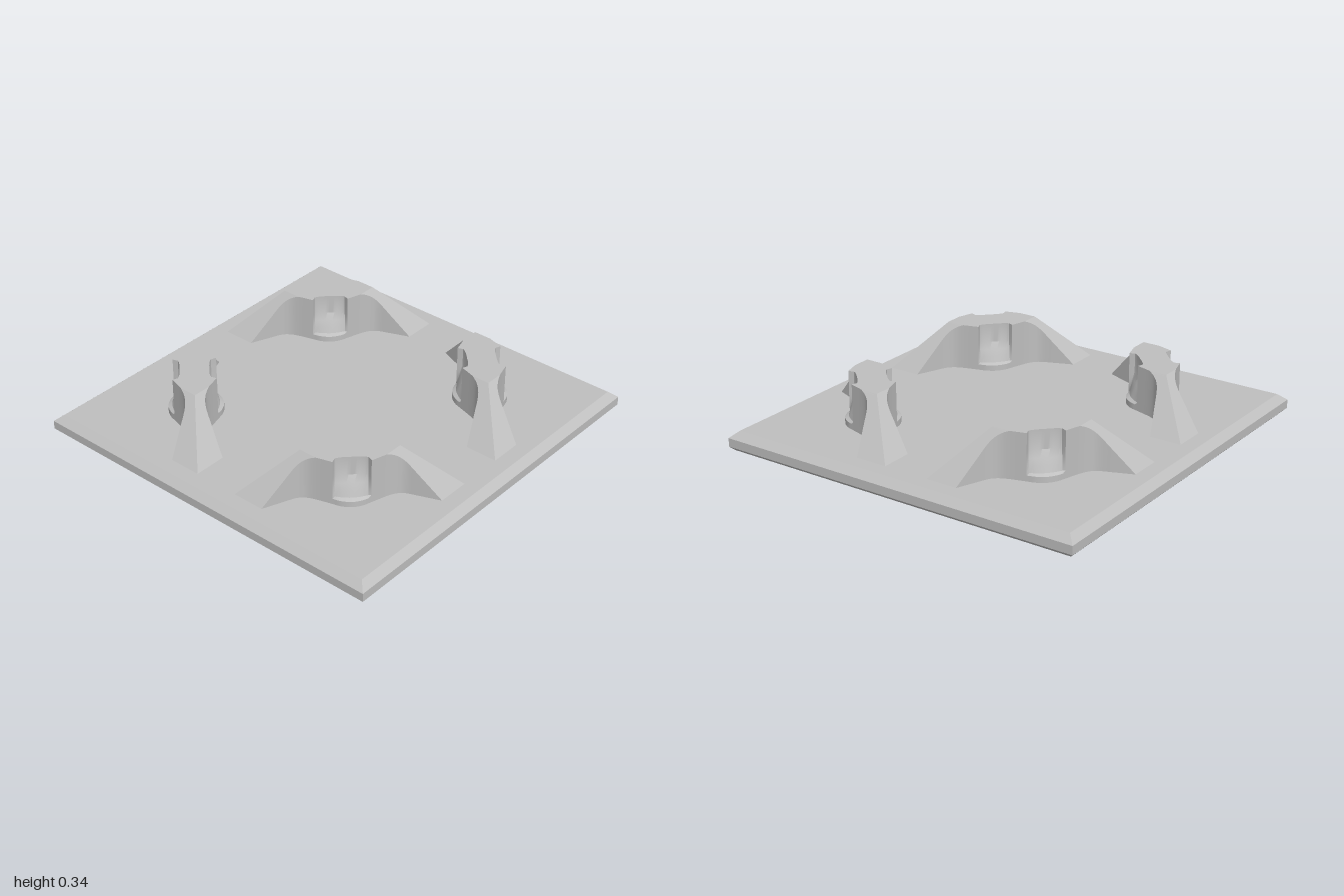
import * as THREE from 'three';
import { toCreasedNormals } from 'three/addons/utils/BufferGeometryUtils.js';

const BASE = 0.1, TOP = 0.34;       // plate top, wall top
const FOOT = 0.38, CREST = 0.163;   // half sizes of the sloped end cuts
const GROOVE_HALF = 0.09, GROOVE_DEPTH = 0.065;

// Half thickness of the wall (second number) along its length (first number)
const halfOutline = [[0.05, 0.128], [0.09, 0.107], [0.163, 0.0675], [0.21, 0.05], [0.255, 0.051], [0.32, 0.078], [0.417, 0.12]];
// Groove depth fraction at each height: tapers out to a ledge near the base
const levels = [[BASE, 0], [0.13, 0], [0.14, 0.3], [0.17, 0.48], [0.205, 0.7], [0.24, 1], [TOP, 1]];

function wallHalfGeometry() {
  const control = [
    ...halfOutline.map(([s, t]) => new THREE.Vector2(-s, t)).reverse(),
    new THREE.Vector2(0, 0.138),
    ...halfOutline.map(([s, t]) => new THREE.Vector2(s, t)),
  ];
  const outline = new THREE.SplineCurve(control).getPoints((control.length - 1) * 4);
  const place = (s, t, y) => new THREE.Vector3((s + t) * Math.SQRT1_2, y, (t - s) * Math.SQRT1_2);

  // Each station: side points from bottom to top, then the point on the ridge
  const stations = outline.map(({ x: s, y: t }) => {
    const reach = (Math.abs(s) + t) * Math.SQRT1_2;
    const slope = THREE.MathUtils.clamp((FOOT - reach) / (FOOT - CREST), 0, 1);
    const height = BASE + (TOP - BASE) * slope;
    const u = Math.min(1, Math.abs(s) / GROOVE_HALF);
    const depth = GROOVE_DEPTH * Math.sqrt(1 - u * u);
    const column = levels.map(([y, f]) => place(s, t - depth * f, Math.min(y, height)));
    const ridge = reach >= CREST - 1e-6 ? Math.sign(s) * reach * Math.SQRT2 : s * Math.SQRT2;
    column.push(place(ridge, 0, height));
    return column;
  });

  const positions = [];
  const tri = (a, b, c) => {
    const area = b.clone().sub(a).cross(c.clone().sub(a)).length();
    if (area > 1e-8) [a, b, c].forEach((p) => positions.push(p.x, p.y, p.z));
  };
  for (let i = 0; i < stations.length - 1; i++) {
    const p = stations[i], q = stations[i + 1];
    for (let j = 0; j < p.length - 1; j++) {
      tri(p[j], q[j], q[j + 1]);
      tri(p[j], q[j + 1], p[j + 1]);
    }
  }
  const geometry = new THREE.BufferGeometry();
  geometry.setAttribute('position', new THREE.Float32BufferAttribute(positions, 3));
  return toCreasedNormals(geometry, 0.5);
}

function plateGeometry() {
  const profile = [[0, 0], [0.98, 0], [1, 0.02], [1, 0.065], [0.96, BASE], [0, BASE]];
  const geometry = new THREE.LatheGeometry(
    profile.map(([r, y]) => new THREE.Vector2(r * Math.SQRT2, y)), 4, Math.PI / 4,
  ).toNonIndexed();
  geometry.computeVertexNormals();
  return geometry;
}

export function createModel() {
  const model = new THREE.Group();
  model.name = 'corner wall tile';
  const grey = new THREE.MeshStandardMaterial({ color: 0xbfbfbf });
  grey.name = 'light grey';

  // Bevelled square base
  const plate = new THREE.Mesh(plateGeometry(), grey);
  plate.name = 'basePlate';
  model.add(plate);

  // Four diagonal walls, each with a grooved outer and inner half
  const half = wallHalfGeometry();
  const corners = ['frontLeft', 'backLeft', 'backRight', 'frontRight'];
  corners.forEach((corner, i) => {
    const pivot = new THREE.Group();
    pivot.name = corner + 'Wall';
    pivot.rotation.y = i * Math.PI / 2;
    ['outerHalf', 'innerHalf'].forEach((name, k) => {
      const mesh = new THREE.Mesh(half, grey);
      mesh.name = name;
      mesh.position.set(0.5, 0, 0.5);
      mesh.rotation.y = k * Math.PI;
      pivot.add(mesh);
    });
    model.add(pivot);
  });
  return model;
}
